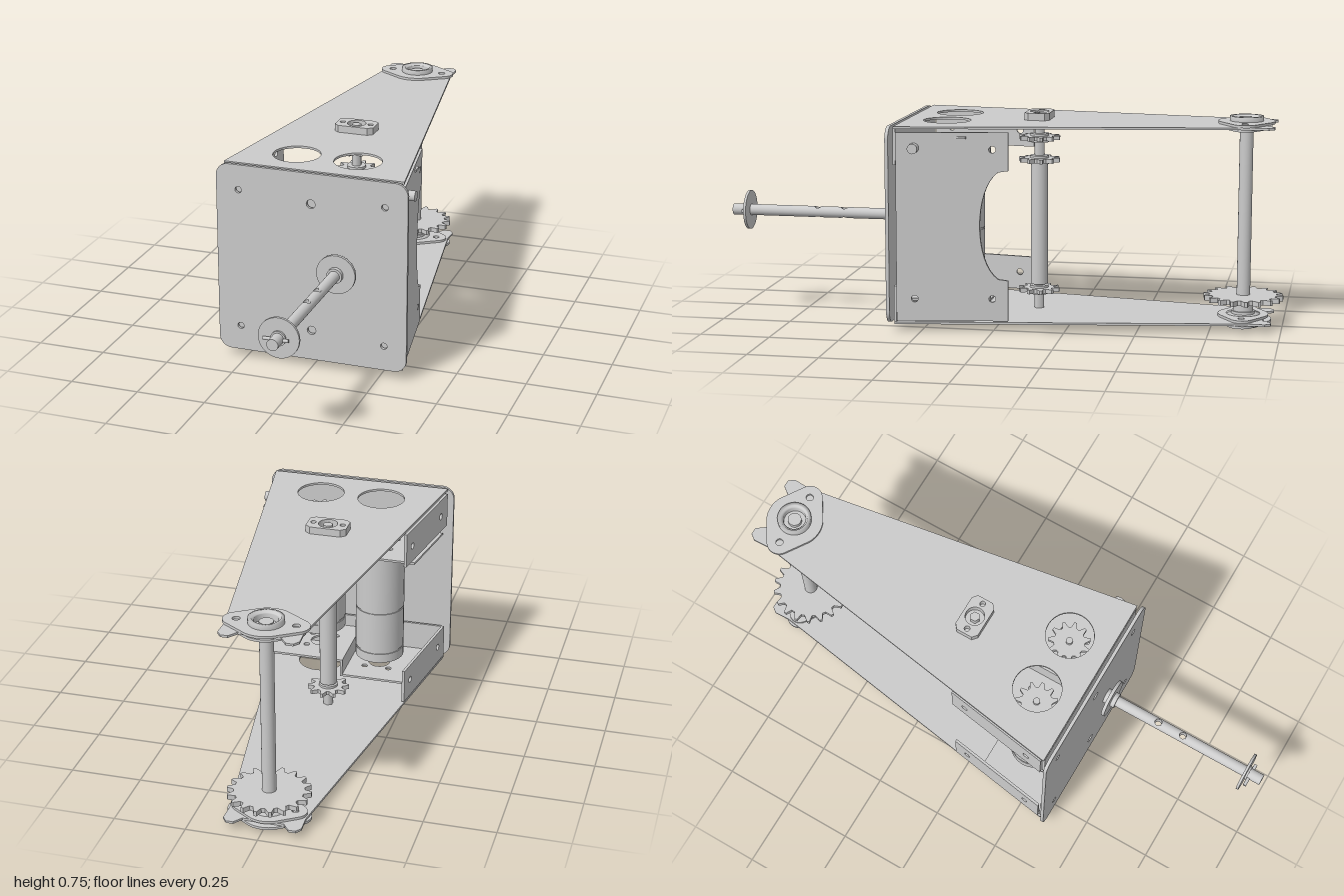
import * as THREE from 'three';
import { ParametricGeometry } from 'three/addons/geometries/ParametricGeometry.js';

const MID = 0.378;                       // height of the mirror plane
const edge = (z) => 0.2735 + 0.159 * z;  // half width of the tapered frame at z
const V = (x, y) => new THREE.Vector2(x, y);

export function createModel() {
  const root = new THREE.Group();
  const mat = new THREE.MeshStandardMaterial({ color: 0xcccccc, side: THREE.DoubleSide });

  const add = (name, geo, x = 0, y = 0, z = 0) => {
    const m = new THREE.Mesh(geo, mat);
    m.name = name;
    m.position.set(x, y, z);
    root.add(m);
    return m;
  };
  const extrude = (pts, holes, depth) => {
    const shape = pts instanceof THREE.Shape ? pts : new THREE.Shape(pts);
    for (const [x, y, r] of holes) shape.holes.push(new THREE.Path().absarc(x, y, r, 0, Math.PI * 2, true));
    return new THREE.ExtrudeGeometry(shape, { depth, bevelEnabled: false, curveSegments: 16 });
  };
  // Horizontal sheet: points and holes given as (x, z), bottom face at y
  const sheet = (name, pts, holes, y, t) => add(name,
    extrude(pts.map(([x, z]) => V(x, -z)), holes.map(([x, z, r]) => [x, -z, r]), t).rotateX(-Math.PI / 2), 0, y, 0);
  const box = (name, x0, x1, y0, y1, z0, z1) => add(name,
    new THREE.BoxGeometry(x1 - x0, y1 - y0, z1 - z0), (x0 + x1) / 2, (y0 + y1) / 2, (z0 + z1) / 2);
  const post = (name, r, x, z, y0, y1, seg = 28) => add(name,
    new THREE.CylinderGeometry(r, r, y1 - y0, seg), x, (y0 + y1) / 2, z);
  // Cylinder along z on the front axle
  const axial = (name, r, z0, z1) => add(name,
    new THREE.CylinderGeometry(r, r, z1 - z0, 36).rotateX(Math.PI / 2), 0.1, 0.38, (z0 + z1) / 2);
  // Upright sheet following the tapered side, points and holes as (z, y)
  const sidePanel = (name, shape, holes, side) => {
    const g = extrude(shape, holes, 0.01).rotateY(Math.PI / 2);
    const p = g.attributes.position;
    for (let i = 0; i < p.count; i++) p.setX(i, p.getX(i) - 0.006 + edge(p.getZ(i)));
    g.computeVertexNormals();
    return add(name, g).scale.set(side, 1, 1);
  };
  const sprocket = (name, x, z, y, r, teeth, t, depth) => {
    const pts = [];
    for (let i = 0; i < teeth; i++)
      for (const [f, d] of [[0, depth], [0.3, depth], [0.52, 0], [0.72, 0]]) {
        const a = ((i + f) / teeth) * Math.PI * 2;
        pts.push([x + (r - d) * Math.cos(a), z + (r - d) * Math.sin(a)]);
      }
    sheet(name, pts, [], y - t / 2, t);
  };

  // Front plate with rounded corners
  const h = 0.349, c = 0.045, fp = new THREE.Shape();
  [[1, 1, 0], [-1, 1, 1], [-1, -1, 2], [1, -1, 3]].forEach(([sx, sy, q]) =>
    fp.absarc(sx * (h - c), sy * (h - c), c, q * Math.PI / 2, (q + 1) * Math.PI / 2, false));
  const fpHoles = [[0, -0.237, 0.016], [0, 0.237, 0.016]];
  for (const sx of [-1, 1]) for (const sy of [-1, 1]) fpHoles.push([sx * 0.267, sy * 0.2575, 0.012]);
  add('frontPlate', extrude(fp, fpHoles, 0.012), 0, 0.38, 0.355);

  // Tapered arms, their front flanges and bearings, top and bottom
  const half = [[0.328, 0.343], [0.1325, -0.885], [0.135, -0.945], [0.12, -0.965], [0.095, -0.965], [0.072, -0.935]];
  const outline = [...half, ...half.map(([x, z]) => [-x, z]).reverse()];
  const flangeEnd = new THREE.Shape();
  flangeEnd.absarc(0.1, 0, 0.045, -0.95, 0.95, false);
  flangeEnd.absarc(0, 0, 0.1, 1.1, Math.PI - 1.1, false);
  flangeEnd.absarc(-0.1, 0, 0.045, Math.PI - 0.95, Math.PI + 0.95, false);
  flangeEnd.absarc(0, 0, 0.1, Math.PI + 1.1, Math.PI * 2 - 1.1, false);
  const bearingGeo = extrude(flangeEnd, [[0.1, 0, 0.013], [-0.1, 0, 0.013], [0, 0, 0.045]], 0.009).rotateX(-Math.PI / 2);
  const blockGeo = extrude(
    [V(0.073, -0.03), V(0.073, 0.03), V(0.055, 0.045), V(-0.055, 0.045), V(-0.073, 0.03), V(-0.073, -0.03), V(-0.055, -0.045), V(0.055, -0.045)],
    [[0.053, 0, 0.01], [-0.053, 0, 0.01], [0, 0, 0.034]], 0.026).rotateX(-Math.PI / 2);
  const ringPts = [V(0.04, -0.02), V(0.06, -0.02), V(0.06, 0.024), V(0.048, 0.024), V(0.045, 0.016), V(0.04, 0.016), V(0.04, -0.02)];
  for (const s of [1, -1]) {
    const n = s > 0 ? 'upper' : 'lower';
    const yy = (v) => MID + s * v;
    sheet(n + 'Arm', outline, [[0.113, 0.195, 0.085], [-0.113, 0.195, 0.085], [0, -0.86, 0.045]], yy(0.347) - 0.004, 0.008);
    const y1 = yy(0.345), y2 = yy(0.215);
    box(n + 'FrontFlange', -0.32, 0.32, Math.min(y1, y2), Math.max(y1, y2), 0.336, 0.345);
    add(n + 'RearBearingFlange', bearingGeo, 0, yy(0.351), -0.86).scale.y = s;
    add(n + 'RearBearingInnerFlange', bearingGeo, 0, yy(0.334), -0.86).scale.set(0.9, s, 0.9);
    add(n + 'RearBearingRing', new THREE.LatheGeometry(ringPts, 36), 0, yy(0.353), -0.86).scale.y = s;
    add(n + 'MiddleBearingBlock', blockGeo, 0, yy(0.351), -0.12).scale.y = s;
    // Short flange on the open side
    const a = yy(0.335), b = yy(0.21);
    const lo = Math.min(a, b), hi = Math.max(a, b);
    sidePanel(n + 'SideFlange', [V(-0.333, lo), V(0.055, lo), V(0.055, hi), V(-0.333, hi)],
      [[0, yy(0.27), 0.012], [-0.27, yy(0.27), 0.012]], -1);
  }

  // Closed side panel with a bowed cut-out at the rear
  const panel = new THREE.Shape([V(-0.333, 0.04), V(0.055, 0.04), V(0.055, 0.185), V(0.02, 0.19)]);
  panel.bezierCurveTo(-0.065, 0.25, -0.065, 0.51, 0.02, 0.57);
  [[0.055, 0.575], [0.055, 0.71], [-0.333, 0.71]].forEach(([x, y]) => panel.lineTo(x, y));
  sidePanel('sidePanel', panel, [[0, 0.65, 0.012], [0, 0.12, 0.012], [-0.27, 0.12, 0.012]], 1);
  box('panelTab', 0.285, 0.302, 0.688, 0.696, 0.09, 0.13);
  add('panelBolt', new THREE.CylinderGeometry(0.018, 0.018, 0.05, 20).rotateZ(Math.PI / 2), 0.322, 0.655, 0.27);

  // Stepped motor brackets
  const bracket = (name, yHigh, yLow, flangeY) => {
    const holes = (x) => [[x, 0.195, 0.04], ...[0, 1, 2, 3].map((i) =>
      [x + 0.065 * Math.cos(i * Math.PI / 2 + 0.785), 0.195 + 0.065 * Math.sin(i * Math.PI / 2 + 0.785), 0.011])];
    sheet(name + 'HighStep', [[0, 0.335], [0.315, 0.335], [0.272, 0.06], [0, 0.06]], holes(0.113), yHigh, 0.008);
    sheet(name + 'LowStep', [[0, 0.335], [-0.315, 0.335], [-0.272, 0.06], [0, 0.06]], holes(-0.113), yLow, 0.008);
    box(name + 'Riser', -0.004, 0.004, yLow, yHigh + 0.008, 0.06, 0.335);
  };
  bracket('lowerBracket', 0.11, 0.05, 0.16);
  bracket('upperBracket', 0.615, 0.545, 0.6);

  // Motors with cap bands, output shafts and sprockets
  for (const [x, y0, y1, ys] of [[-0.113, 0.1, 0.545, 0.58], [0.113, 0.19, 0.615, 0.66]]) {
    post('motorCap', 0.09, x, 0.195, y0, y0 + 0.035);
    post('motorBand', 0.087, x, 0.195, y0 + 0.035, y0 + 0.042);
    post('motorBody', 0.09, x, 0.195, y0 + 0.042, y0 + 0.2);
    post('motorSeam', 0.087, x, 0.195, y0 + 0.2, y0 + 0.206);
    post('motorGearbox', 0.09, x, 0.195, y0 + 0.206, y1);
    post('motorShaft', 0.012, x, 0.195, y1, ys + 0.02);
    post('motorSprocketHub', 0.035, x, 0.195, y1, ys);
    sprocket('motorSprocket', x, 0.195, ys, 0.075, 11, 0.014, 0.02);
  }

  // Middle shaft
  post('middleShaft', 0.031, 0, -0.12, 0.125, 0.57);
  post('middleShaftCore', 0.018, 0, -0.12, 0.004, 0.752, 6);
  for (const y of [0.104, 0.58, 0.66]) {
    sprocket('middleSprocket', 0, -0.12, y, 0.075, 10, 0.015, 0.022);
    post('middleSprocketHub', 0.034, 0, -0.12, y - 0.016, y + 0.016);
  }

  // Rear shaft
  post('rearShaft', 0.024, 0, -0.86, 0.015, 0.742);
  sprocket('rearSprocket', 0, -0.86, 0.104, 0.142, 18, 0.018, 0.024);
  post('rearCollar', 0.036, 0, -0.86, 0.055, 0.095);
  for (const y of [0.045, 0.715]) post('rearBearingSeal', 0.042, 0, -0.86, y - 0.01, y + 0.01);

  // Front axle, with two cross holes formed by a pair of cheeks
  const R = 0.02, H = 0.013;
  for (const [a, b] of [[0.32, 0.58 - H], [0.58 + H, 0.68 - H], [0.68 + H, 1]]) axial('frontAxle', R, a, b);
  for (const z0 of [0.58, 0.68]) for (const s of [1, -1]) {
    const cheek = new ParametricGeometry((u, v, t) => {
      const q = -Math.cos(v * Math.PI) * H;
      const w = Math.sqrt(Math.max(0, H * H - q * q));
      const A = Math.acos(w / R);
      const k = Math.min(u / 0.75, 1), a = (2 * k - 1) * A;
      const back = u > 0.75 ? (u - 0.75) / 0.25 : 0;
      t.set(s * R * Math.cos(a), s * R * Math.sin(a) * (1 - 2 * back), q);
    }, 16, 12);
    add('axleHoleCheek', cheek, 0.1, 0.38, z0);
  }
  axial('axleInnerBearing', 0.105, 0.338, 0.354);
  axial('axleInnerHub', 0.045, 0.32, 0.354);
  axial('axleCollar', 0.028, 0.367, 0.412);
  axial('axleInnerDisc', 0.071, 0.384, 0.396);
  axial('axleOuterDisc', 0.071, 0.934, 0.943);
  axial('axleOuterHub', 0.026, 0.943, 0.95);
  add('axlePin', new THREE.CylinderGeometry(0.006, 0.006, 0.088, 14).rotateZ(Math.PI / 2), 0.095, 0.38, 0.956);

  return root;
}
